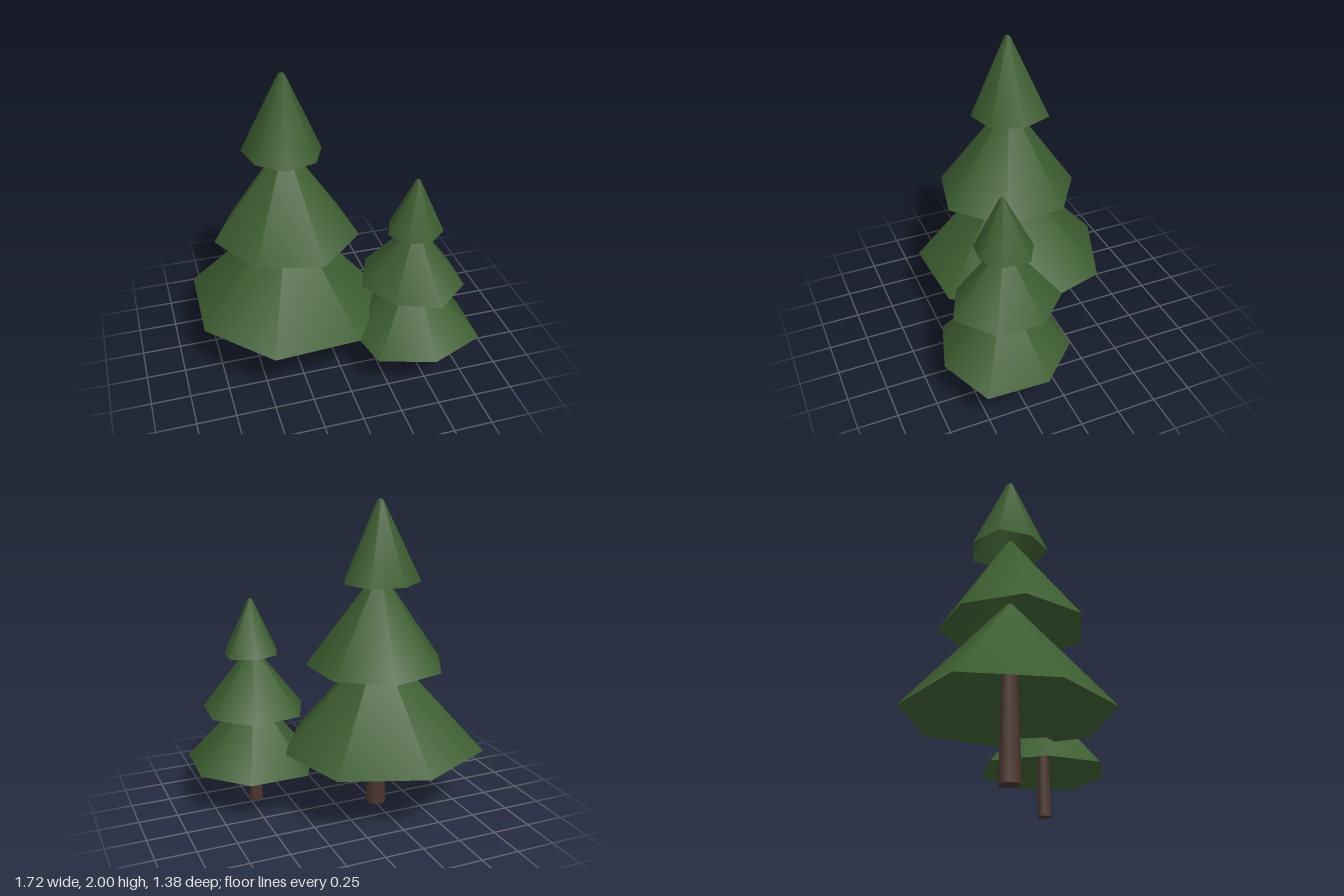
import * as THREE from 'three';

const SIDES = 7;

const needles = new THREE.MeshStandardMaterial({ color: 0x3c5d30, side: THREE.DoubleSide });
needles.name = 'needle green';
const bark = new THREE.MeshStandardMaterial({ color: 0x4c362e });
bark.name = 'bark brown';

// Hollow seven-sided cone with uneven rim radii and a small blunt tip
function tierGeometry(base, top, startDegrees, radii, tipRadius) {
  const points = [];
  const index = [];
  const addRing = (y, radiusAt) => {
    for (let i = 0; i < SIDES; i++) {
      const a = THREE.MathUtils.degToRad(startDegrees) + (i / SIDES) * Math.PI * 2;
      points.push(Math.cos(a) * radiusAt(i), y, Math.sin(a) * radiusAt(i));
    }
  };
  addRing(base, (i) => radii[i]);
  addRing(top - tipRadius * 0.5, () => tipRadius);
  points.push(0, top, 0);
  const apex = SIDES * 2;
  for (let i = 0; i < SIDES; i++) {
    const j = (i + 1) % SIDES;
    index.push(i, i + SIDES, j, j, i + SIDES, j + SIDES);
    index.push(i + SIDES, apex, j + SIDES);
  }
  const geometry = new THREE.BufferGeometry();
  geometry.setAttribute('position', new THREE.Float32BufferAttribute(points, 3));
  geometry.setIndex(index);
  geometry.computeVertexNormals();
  return geometry;
}

function createTree({ name, x, z, scale, tiers }) {
  const tree = new THREE.Group();
  tree.name = name;
  tree.position.set(x, 0, z);

  // Tapered trunk reaching up inside the lowest tier
  const height = 0.9 * scale;
  const trunk = new THREE.Mesh(
    new THREE.CylinderGeometry(0.041 * scale, 0.068 * scale, height, SIDES), bark);
  trunk.name = 'trunk';
  trunk.position.y = height / 2;
  tree.add(trunk);

  // Three overlapping skirts of branches
  tiers.forEach(({ base, top, start, radii }, i) => {
    const tier = new THREE.Mesh(tierGeometry(base, top, start, radii, 0.02 * scale), needles);
    tier.name = ['lowerBranches', 'middleBranches', 'upperBranches'][i];
    tree.add(tier);
  });
  return tree;
}

const TREES = [
  {
    name: 'tallTree', x: -0.27, z: -0.055, scale: 1,
    tiers: [
      { base: 0.41, top: 1.12, start: -94.8, radii: [0.644, 0.647, 0.63, 0.64, 0.623, 0.618, 0.691] },
      { base: 0.95, top: 1.56, start: -79.5, radii: [0.435, 0.449, 0.46, 0.477, 0.462, 0.459, 0.427] },
      { base: 1.49, top: 2.0, start: -105, radii: [0.247, 0.265, 0.237, 0.235, 0.237, 0.223, 0.263] },
    ],
  },
  {
    name: 'smallTree', x: 0.46, z: 0.285, scale: 0.69,
    tiers: [
      { base: 0.285, top: 0.775, start: -69.2, radii: [0.414, 0.417, 0.46, 0.401, 0.428, 0.395, 0.445] },
      { base: 0.655, top: 1.075, start: -75.2, radii: [0.358, 0.333, 0.329, 0.346, 0.301, 0.329, 0.36] },
      { base: 1.025, top: 1.38, start: -82, radii: [0.186, 0.202, 0.175, 0.165, 0.174, 0.177, 0.178] },
    ],
  },
];

export function createModel() {
  const model = new THREE.Group();
  model.name = 'pineTrees';
  TREES.forEach((spec) => model.add(createTree(spec)));
  return model;
}
